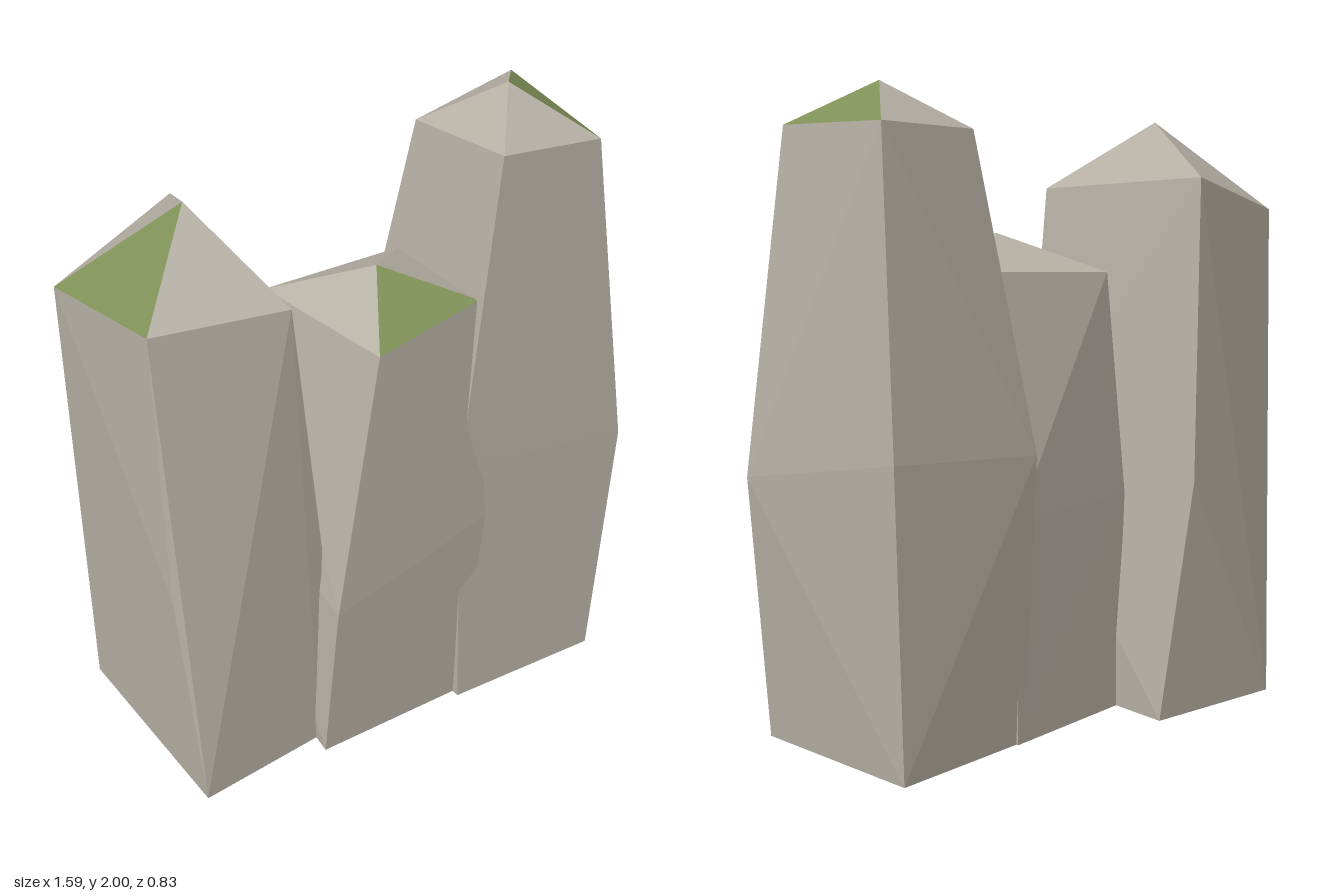
import * as THREE from 'three';
import { ConvexGeometry } from 'three/addons/geometries/ConvexGeometry.js';

const stone = new THREE.MeshStandardMaterial({ color: 0xb8b2a6, flatShading: true });
const moss = new THREE.MeshStandardMaterial({ color: 0x7f9158, flatShading: true });

// Corners run front-left, front-right, back-right, back-left as seen from the front.
// mossSide is the top corner that starts the mossy facet of the tip.
const pillars = [
  {
    name: 'leftPillar', mossSide: 3, apex: [-0.49, 1.85, -0.08],
    top: [[-0.78, 1.65, 0.2], [-0.36, 1.63, 0.27], [-0.36, 1.7, -0.38], [-0.8, 1.57, -0.3]],
    mid: [[-0.77, 0.75, 0.24], [-0.265, 0.75, 0.27], [-0.3, 0.77, -0.42]],
    base: [[-0.73, 0, 0.32], [-0.29, 0, 0.285], [-0.23, 0, -0.35], [-0.715, 0, -0.395]],
  },
  {
    name: 'middlePillar', mossSide: 0, apex: [0.07, 1.53, 0.07],
    top: [[-0.13, 1.44, 0.37], [0.27, 1.46, 0.31], [0.27, 1.44, -0.1], [-0.17, 1.41, -0.17]],
    mid: [[-0.28, 0.56, 0.38], [0.27, 0.71, 0.385], [0.25, 0.7, -0.2], [-0.27, 0.7, -0.16]],
    base: [[-0.31, 0, 0.35], [0.22, 0, 0.36], [0.24, 0, -0.19], [-0.25, 0, -0.15]],
  },
  {
    name: 'rightPillar', mossSide: 1, apex: [0.53, 2, 0.08],
    top: [[0.33, 1.92, 0.32], [0.69, 1.87, 0.32], [0.72, 1.9, -0.14], [0.33, 1.86, -0.1]],
    mid: [[0.18, 0.92, 0.365], [0.79, 0.83, 0.4], [0.76, 0.95, -0.22], [0.2, 0.9, -0.23]],
    base: [[0.19, 0, 0.385], [0.71, 0, 0.415], [0.725, 0, -0.21], [0.2, 0, -0.18]],
  },
];

function facets(name, positions, material) {
  const geometry = new THREE.BufferGeometry();
  geometry.setAttribute('position', new THREE.Float32BufferAttribute(positions, 3));
  geometry.computeVertexNormals();
  const mesh = new THREE.Mesh(geometry, material);
  mesh.name = name;
  return mesh;
}

// Faceted hull, with one facet of the tip split off as moss
function makePillar({ name, mossSide, apex, top, mid, base }) {
  const hull = new ConvexGeometry([apex, ...top, ...mid, ...base].map((p) => new THREE.Vector3(...p)));
  const mossCorners = [apex, top[mossSide], top[(mossSide + 1) % 4]].map((p) => new THREE.Vector3(...p));
  const pos = hull.getAttribute('position');
  const rock = [], green = [];
  for (let i = 0; i < pos.count; i += 3) {
    const tri = [0, 1, 2].map((k) => new THREE.Vector3().fromBufferAttribute(pos, i + k));
    const mossy = tri.every((v) => mossCorners.some((c) => c.distanceTo(v) < 1e-4));
    for (const v of tri) (mossy ? green : rock).push(v.x, v.y, v.z);
  }
  const group = new THREE.Group();
  group.name = name;
  group.add(facets('stone', rock, stone));
  if (green.length) group.add(facets('mossPatch', green, moss));
  return group;
}

export function createModel() {
  const model = new THREE.Group();
  model.name = 'rockPillars';
  for (const pillar of pillars) model.add(makePillar(pillar));
  return model;
}
